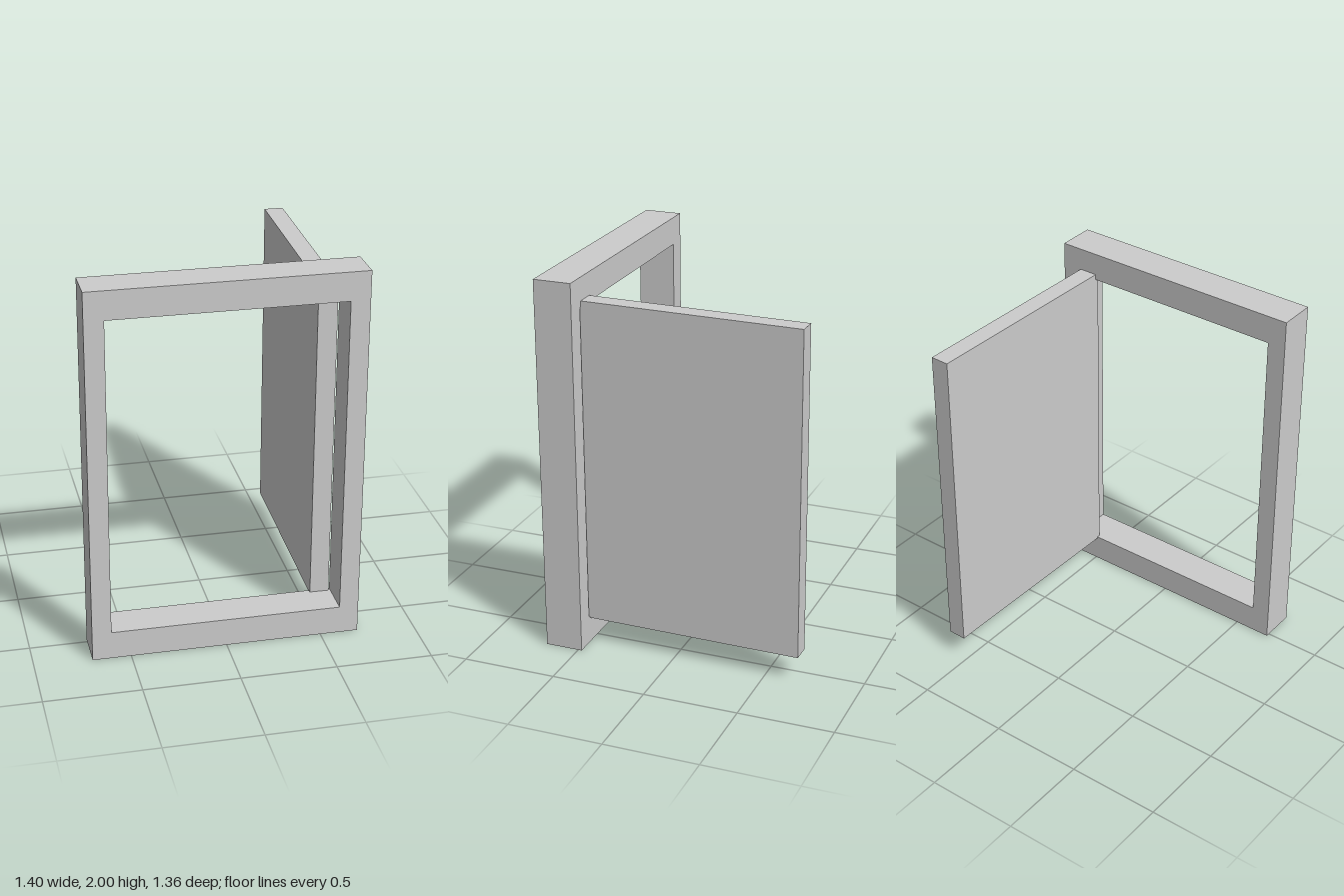
import * as THREE from 'three';

export function createModel() {
  const group = new THREE.Group();
  const material = new THREE.MeshStandardMaterial({ color: 0xcccccc, flatShading: true });

  // Door frame: a rectangle with a rectangular opening
  const outline = new THREE.Shape([[-0.7, 0], [0.7, 0], [0.7, 2], [-0.7, 2]].map(p => new THREE.Vector2(...p)));
  outline.holes.push(new THREE.Path([[-0.6, 0.15], [-0.6, 1.85], [0.6, 1.85], [0.6, 0.15]].map(p => new THREE.Vector2(...p))));
  const frame = new THREE.Mesh(new THREE.ExtrudeGeometry(outline, { depth: 0.2, bevelEnabled: false }), material);
  frame.name = 'doorFrame';
  frame.position.z = 0.48;
  group.add(frame);

  // Door panel, swung open to the back, its hinge edge set slightly into the frame
  const door = new THREE.Mesh(new THREE.BoxGeometry(0.1, 1.74, 1.18), material);
  door.name = 'doorPanel';
  door.position.set(0.55, 1.01, -0.09);
  door.rotation.y = -0.0175;
  group.add(door);

  return group;
}
